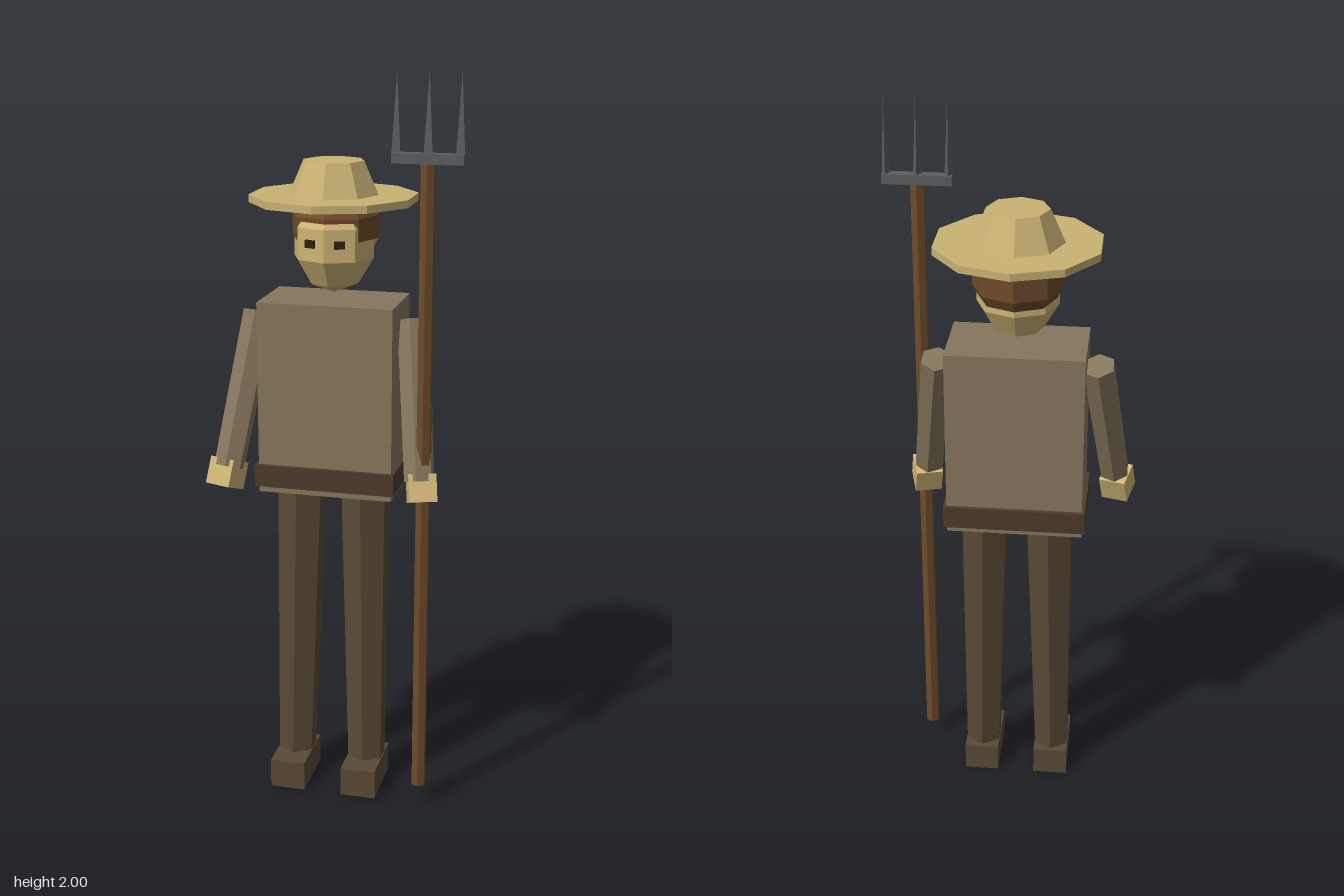
import * as THREE from 'three';

const mat = (name, color, double = false) => {
  const m = new THREE.MeshStandardMaterial({ color, flatShading: true });
  m.name = name;
  if (double) m.side = THREE.DoubleSide;
  return m;
};

export function createModel() {
  const group = new THREE.Group();
  group.name = 'farmer';
  const body = new THREE.Group();
  body.name = 'body';
  body.position.x = -0.025;
  group.add(body);

  const straw = mat('straw', 0xc9b274);
  const skin = mat('skin', 0xd0b676);
  const tunic = mat('tunic', 0x86775d);
  const trousers = mat('trousers', 0x594a35);
  const belt = mat('belt leather', 0x4c3b29);
  const hair = mat('hair', 0x6e4a2a, true);
  const wood = mat('wood', 0x6e4c2a);
  const iron = mat('iron', 0x5c5d60);
  const dark = mat('eye dark', 0x2a2118);

  const add = (name, geometry, material, x, y, z, parent = body) => {
    const mesh = new THREE.Mesh(geometry, material);
    mesh.name = name;
    mesh.position.set(x, y, z);
    parent.add(mesh);
    return mesh;
  };
  const box = (w, h, d) => new THREE.BoxGeometry(w, h, d);
  const cyl = (top, bottom, h, sides) => new THREE.CylinderGeometry(top, bottom, h, sides);
  const UP = new THREE.Vector3(0, 1, 0);

  // Tapered limb between two points
  const limb = (name, a, b, ra, rb, sides, material) => {
    const dir = a.clone().sub(b);
    const mid = a.clone().add(b).multiplyScalar(0.5);
    const mesh = add(name, cyl(ra, rb, dir.length(), sides), material, mid.x, mid.y, mid.z);
    mesh.quaternion.setFromUnitVectors(UP, dir.normalize());
    return mesh;
  };

  // Torso and belt
  add('torso', box(0.365, 0.522, 0.215), tunic, 0, 1.137, 0);
  add('belt', box(0.382, 0.06, 0.24), belt, 0, 0.924, 0);

  // Head and hair
  const head = add('head', new THREE.SphereGeometry(0.113, 8, 5), skin, 0, 1.552, 0);
  head.scale.y = 1.22;
  const cap = [[0, 1.71], [0.08, 1.68], [0.117, 1.62], [0.117, 1.56], [0.1, 1.555]]
    .map(([r, y]) => new THREE.Vector2(r, y)).reverse();
  add('hair', new THREE.LatheGeometry(cap, 8), hair, 0, 0, -0.018);
  const nape = new THREE.CylinderGeometry(0.117, 0.1, 0.03, 4, 1, false, Math.PI / 2, Math.PI);
  add('hairBack', nape, hair, 0, 1.545, -0.018);

  // Straw hat
  add('hatBrim', cyl(0.222, 0.222, 0.02, 10), straw, 0, 1.664, 0);
  add('hatCrown', cyl(0.081, 0.121, 0.09, 8), straw, 0, 1.716, 0);

  for (const s of [1, -1]) {
    const side = s > 0 ? 'left' : 'right';

    // Eye plate lying on the front face facet
    const eye = add(side + 'Eye', box(0.028, 0.02, 0.009), dark, s * 0.039, 1.556, 0.095);
    eye.rotation.y = s * Math.PI / 8;

    // Arm and hand
    const shoulder = new THREE.Vector3(s * 0.212, 1.345, -0.018);
    const wrist = new THREE.Vector3(s * 0.262, 0.945, 0.122);
    const arm = limb(side + 'Arm', shoulder, wrist, 0.045, 0.042, 6, tunic);
    const hand = add(side + 'Hand', box(0.074, 0.074, 0.074), skin, s * 0.268, 0.927, 0.122);
    hand.quaternion.copy(arm.quaternion);
    hand.rotateY(s * 0.3);

    // Leg and boot
    const hip = new THREE.Vector3(s * 0.089, 0.9, 0);
    const ankle = new THREE.Vector3(s * 0.102, 0.06, 0.03);
    limb(side + 'Leg', hip, ankle, 0.07, 0.054, 6, trousers);
    add(side + 'Boot', box(0.098, 0.082, 0.178), belt, s * 0.102, 0.041, 0.052).material = trousers;
  }

  // Pitchfork held in the left hand
  const fork = new THREE.Group();
  fork.name = 'pitchfork';
  fork.position.set(0.247, 0, 0.12);
  group.add(fork);
  add('pole', cyl(0.02, 0.02, 1.72, 6), wood, 0, 0.915, 0, fork);
  add('forkBar', box(0.182, 0.026, 0.03), iron, 0, 1.787, 0, fork);
  for (const x of [-0.081, 0, 0.081]) {
    const tine = add('tine', new THREE.ConeGeometry(0.013, 0.2, 3), iron, x, 1.9, 0, fork);
    tine.rotation.y = Math.PI;
  }
  return group;
}
